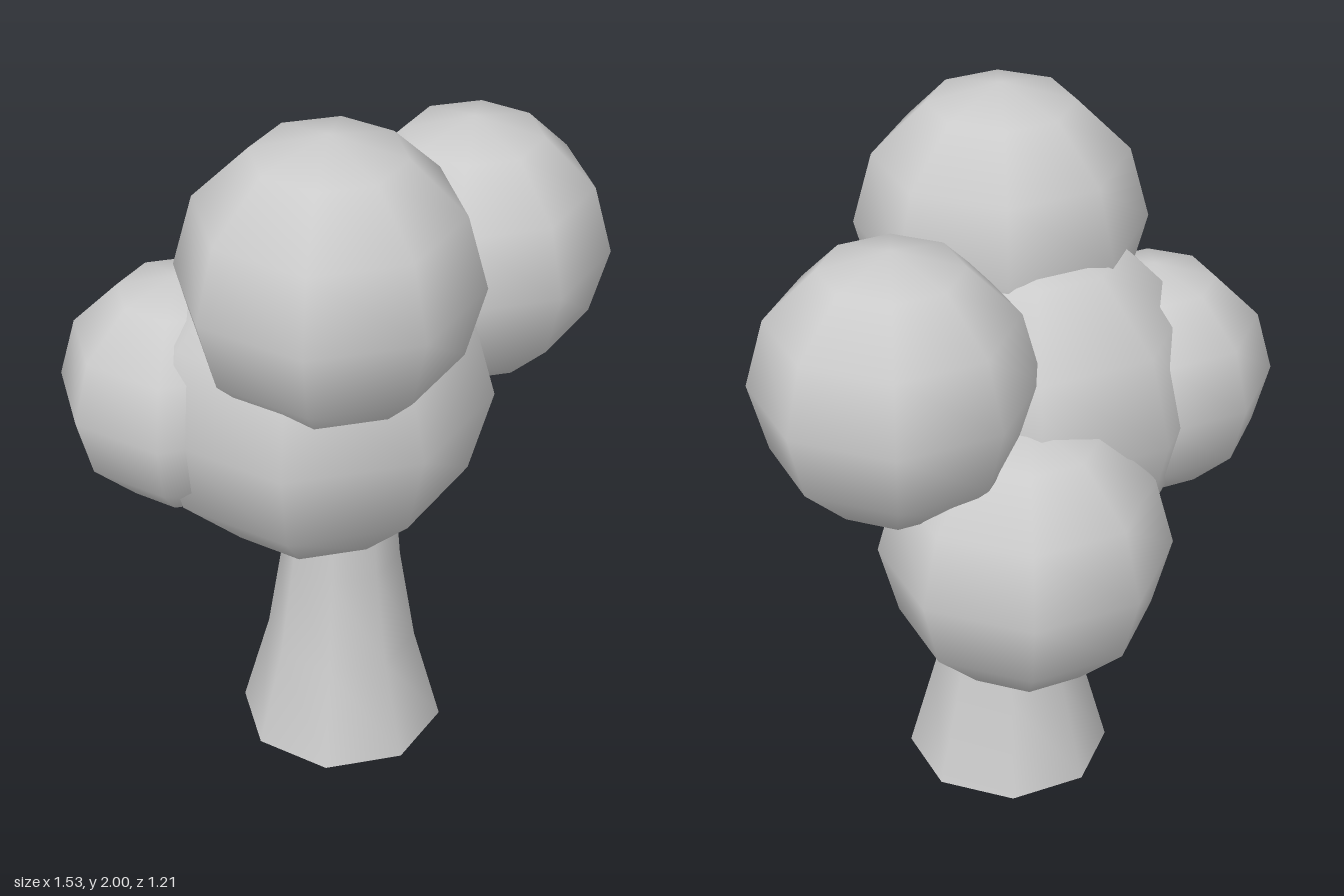
import * as THREE from 'three';

export function createModel() {
  const model = new THREE.Group();
  model.name = 'tree';
  const material = new THREE.MeshStandardMaterial({ color: 0xcccccc });

  // Flared eight-sided trunk, open at the base, its top hidden in the foliage
  const profile = [[0.288, 0], [0.211, 0.287], [0.167, 0.57], [0.145, 0.86]]
    .map(([r, y]) => new THREE.Vector2(r, y));
  const bark = material.clone();
  bark.side = THREE.DoubleSide;
  const trunk = new THREE.Mesh(new THREE.LatheGeometry(profile, 8), bark);
  trunk.name = 'trunk';
  trunk.position.set(-0.053, 0, 0.031);
  model.add(trunk);

  // Foliage: low-poly, smooth-shaded balls overlapping each other
  const foliage = new THREE.Group();
  foliage.name = 'foliage';
  const addBall = (name, radius, x, y, z) => {
    const ball = new THREE.Mesh(new THREE.SphereGeometry(radius, 8, 6), material);
    ball.name = name;
    ball.position.set(x, y, z);
    foliage.add(ball);
  };
  addBall('centreFoliage', 0.486, -0.145, 1.175, 0.03);
  addBall('topFoliage', 0.4, -0.213, 1.6, 0.203);
  addBall('leftFoliage', 0.379, 0.384, 1.417, 0.03);
  addBall('backFoliage', 0.395, 0.15, 0.905, -0.215);
  addBall('rightFoliage', 0.335, -0.43, 1.173, -0.158);
  model.add(foliage);

  return model;
}
